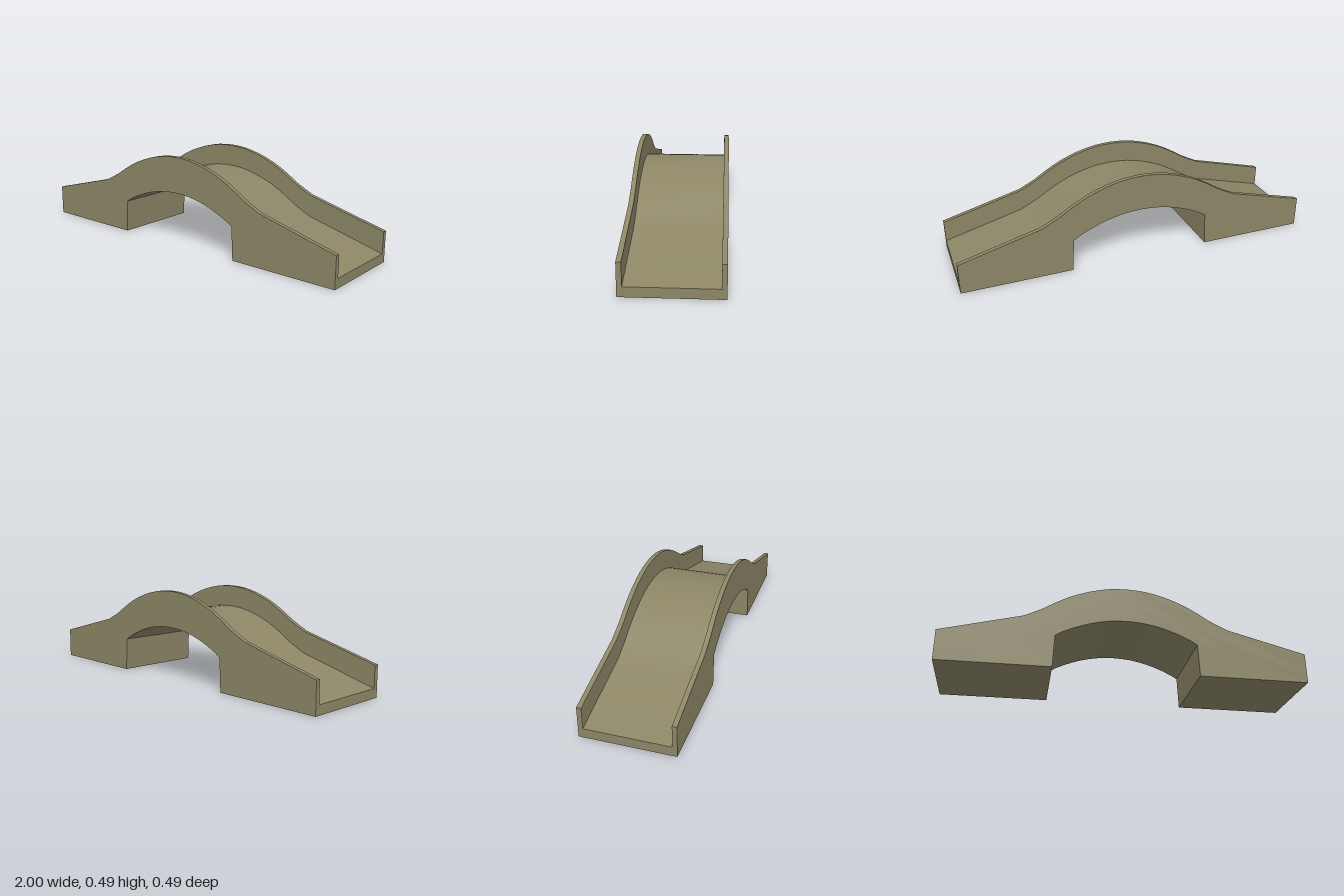
import * as THREE from 'three';
import { toCreasedNormals } from 'three/addons/utils/BufferGeometryUtils.js';

const WIDTH = 0.494, WALL = 0.025, WALL_HEIGHT = 0.118;

// Right halves of the upper edge and of the arch underside, from the centre outwards
const TOP = [[0, 0.494], [0.05, 0.492], [0.1, 0.487], [0.15, 0.477], [0.2, 0.464], [0.25, 0.447],
  [0.3, 0.427], [0.35, 0.402], [0.4, 0.373], [0.46, 0.335], [0.51, 0.309], [0.56, 0.285], [1, 0.169]];
const ARCH = [[0, 0.295], [0.05, 0.293], [0.1, 0.288], [0.15, 0.279], [0.2, 0.266], [0.25, 0.249],
  [0.3, 0.229], [0.35, 0.205], [0.387, 0.182], [0.395, 0]];

// Full line from left to right, mirrored at the centre
function mirrored(half, drop = 0) {
  const right = half.map(([x, y]) => new THREE.Vector2(x, y - drop));
  const left = right.slice(1).reverse().map(p => new THREE.Vector2(-p.x, p.y));
  return [...left, ...right];
}

// Extrudes a side profile across the bridge, centred on z
function slab(name, points, depth, z, material) {
  const geometry = new THREE.ExtrudeGeometry(new THREE.Shape(points), { depth, bevelEnabled: false });
  geometry.translate(0, 0, z - depth / 2);
  const mesh = new THREE.Mesh(toCreasedNormals(geometry, 0.6), material);
  mesh.name = name;
  return mesh;
}

export function createModel() {
  const group = new THREE.Group();
  group.name = 'archBridge';
  const stone = new THREE.MeshStandardMaterial({ color: 0x8c8666 });
  stone.name = 'stone';

  // Deck, feet and arch in one body
  const deckLine = mirrored(TOP, WALL_HEIGHT);
  const body = [...mirrored(ARCH), new THREE.Vector2(1, 0), ...deckLine.slice().reverse(), new THREE.Vector2(-1, 0)];
  group.add(slab('deckAndFeet', body, WIDTH, 0, stone));

  // Parapets along both edges of the deck
  const parapet = [...deckLine, ...mirrored(TOP).reverse()];
  for (const [name, side] of [['frontParapet', 1], ['backParapet', -1]]) {
    group.add(slab(name, parapet, WALL, side * (WIDTH - WALL) / 2, stone));
  }
  return group;
}
